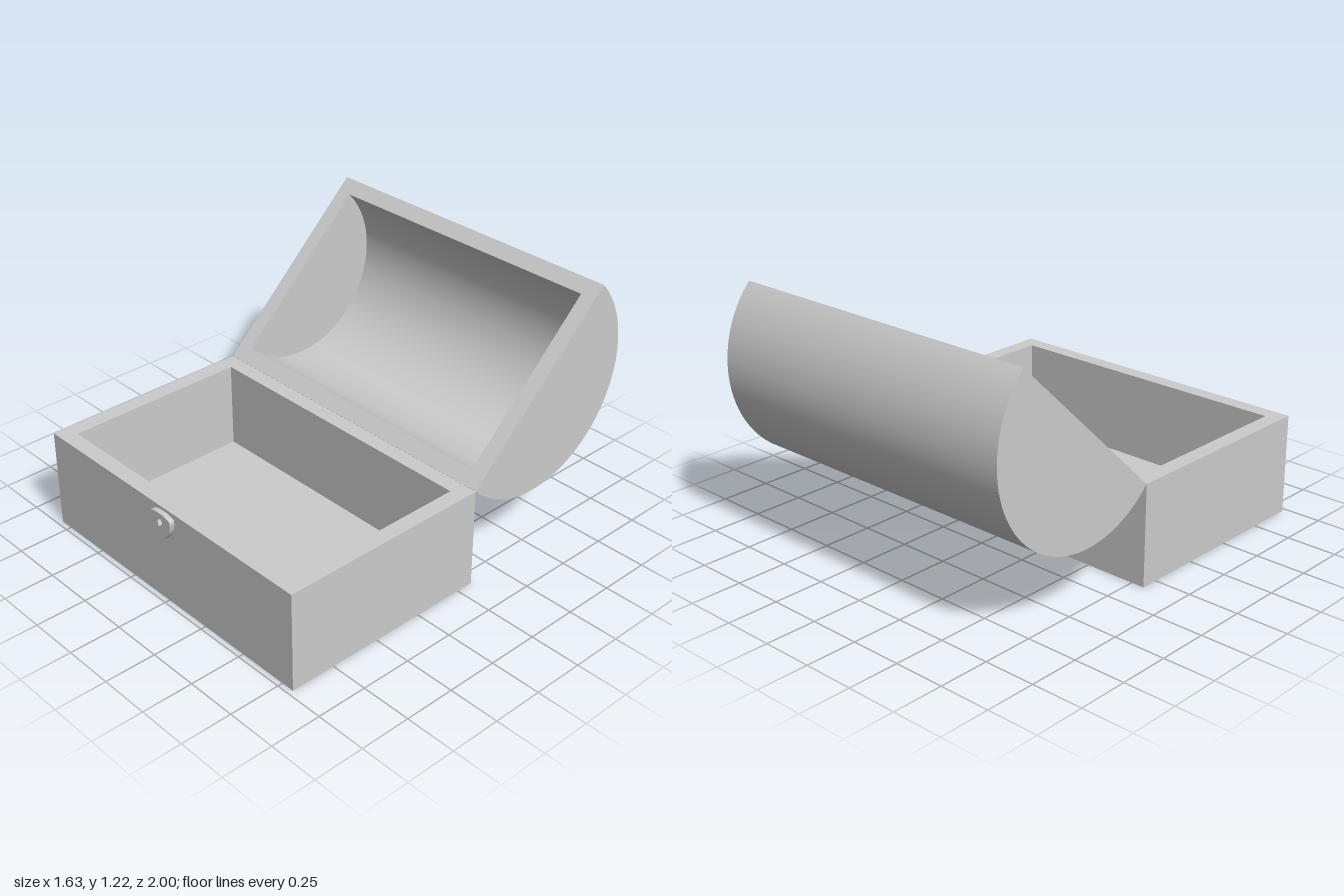
import * as THREE from 'three';

const W = 1.63, D = 1.06, H = 0.49, WALL = 0.077, FLOOR = 0.06;
const FRONT = 0.975, BACK = FRONT - D;
const R = D / 2, RI = R - WALL, HALF = W / 2, HALF_IN = HALF - WALL;

const grey = new THREE.MeshStandardMaterial({ color: 0xcccccc });
const greyInside = new THREE.MeshStandardMaterial({ color: 0xcccccc, side: THREE.BackSide });

function add(parent, name, geometry, material = grey) {
  const mesh = new THREE.Mesh(geometry, material);
  mesh.name = name;
  parent.add(mesh);
  return mesh;
}

function rectangle(PathType, w, d) {
  const p = new PathType();
  p.moveTo(-w / 2, -d / 2);
  p.lineTo(w / 2, -d / 2);
  p.lineTo(w / 2, d / 2);
  p.lineTo(-w / 2, d / 2);
  p.closePath();
  return p;
}

// Rectangular rim shared by the box walls and the lid
function frameShape() {
  const shape = rectangle(THREE.Shape, W, D);
  shape.holes.push(rectangle(THREE.Path, W - 2 * WALL, D - 2 * WALL));
  return shape;
}

// Open-topped box: floor slab and a wall frame
function makeBox() {
  const box = new THREE.Group();
  box.name = 'box';
  box.position.z = (FRONT + BACK) / 2;
  add(box, 'floor', new THREE.BoxGeometry(W, FLOOR, D)).position.y = FLOOR / 2;
  const walls = new THREE.ExtrudeGeometry(frameShape(), { depth: H - FLOOR, bevelEnabled: false });
  add(box, 'walls', walls.rotateX(-Math.PI / 2)).position.y = FLOOR;
  return box;
}

// Hollow half-cylinder lid, modelled dome up around its own axis
function makeLid() {
  const lid = new THREE.Group();
  lid.name = 'lid';
  const dome = (r, length) =>
    new THREE.CylinderGeometry(r, r, length, 64, 1, true, 0, Math.PI).rotateZ(Math.PI / 2);
  add(lid, 'lidOuterDome', dome(R, W));
  add(lid, 'lidInnerDome', dome(RI, 2 * HALF_IN), greyInside);
  for (const s of [-1, 1]) {
    const halfDisc = (r, facing) =>
      new THREE.CircleGeometry(r, 64, 0, Math.PI).rotateY(facing * Math.PI / 2);
    add(lid, 'lidOuterEnd', halfDisc(R, s)).position.x = s * HALF;
    add(lid, 'lidInnerEnd', halfDisc(RI, -s)).position.x = s * HALF_IN;
  }
  add(lid, 'lidRim', new THREE.ShapeGeometry(frameShape()).rotateX(Math.PI / 2));

  // Swing open about the back top edge of the box
  const edgeY = 0.73, edgeZ = -0.77;
  lid.position.set(0, H + edgeY / 2, BACK + edgeZ / 2);
  lid.rotation.x = Math.atan2(-edgeY, edgeZ);
  return lid;
}

// Shield-shaped lock plate with a teardrop keyhole
function makeLock() {
  const plate = new THREE.Shape();
  plate.moveTo(0, 0.475);
  plate.bezierCurveTo(0.03, 0.475, 0.05, 0.47, 0.061, 0.465);
  plate.bezierCurveTo(0.07, 0.461, 0.071, 0.45, 0.069, 0.435);
  plate.bezierCurveTo(0.065, 0.395, 0.047, 0.38, 0.03, 0.357);
  plate.bezierCurveTo(0.02, 0.344, 0.012, 0.342, 0, 0.342);
  plate.bezierCurveTo(-0.012, 0.342, -0.02, 0.344, -0.03, 0.357);
  plate.bezierCurveTo(-0.047, 0.38, -0.065, 0.395, -0.069, 0.435);
  plate.bezierCurveTo(-0.071, 0.45, -0.07, 0.461, -0.061, 0.465);
  plate.bezierCurveTo(-0.05, 0.47, -0.03, 0.475, 0, 0.475);

  const keyhole = new THREE.Path();
  keyhole.moveTo(0.007, 0.404);
  keyhole.absarc(0, 0.43, 0.016, -0.5, Math.PI + 0.5, false);
  keyhole.lineTo(-0.007, 0.404);
  keyhole.closePath();
  plate.holes.push(keyhole);

  const geometry = new THREE.ExtrudeGeometry(plate, {
    depth: 1 - FRONT, bevelEnabled: false, curveSegments: 10,
  });
  return geometry.translate(0, 0, FRONT);
}

export function createModel() {
  const chest = new THREE.Group();
  chest.name = 'chest';
  chest.add(makeBox(), makeLid());
  add(chest, 'lockPlate', makeLock());
  return chest;
}
